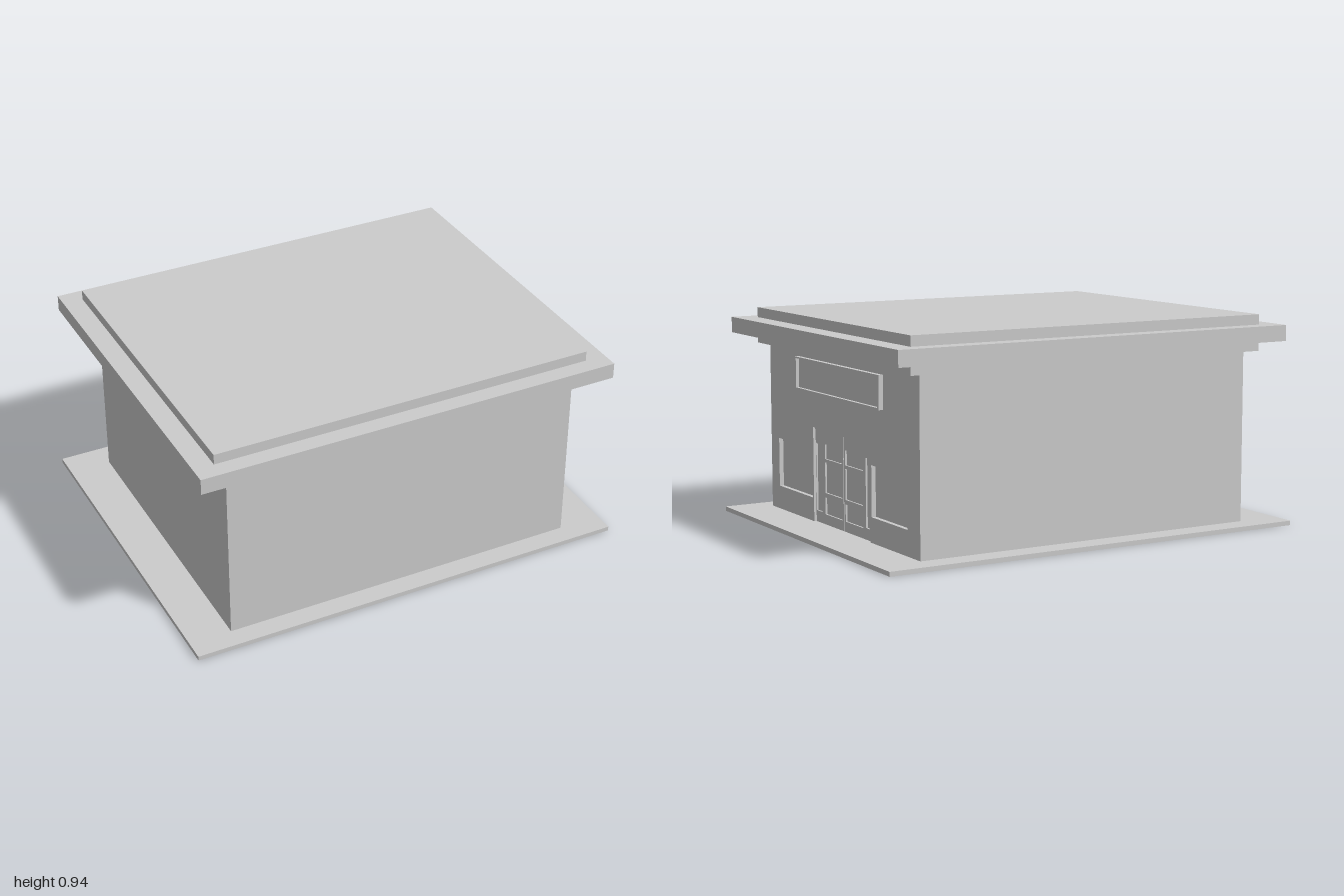
import * as THREE from 'three';

const material = new THREE.MeshStandardMaterial({ color: 0xcccccc, flatShading: true });

function add(group, name, geometry) {
  const mesh = new THREE.Mesh(geometry, material);
  mesh.name = name;
  group.add(mesh);
  return mesh;
}

// Box given by its limits on each axis
function slab(group, name, [x0, x1], [y0, y1], [z0, z1]) {
  const mesh = add(group, name, new THREE.BoxGeometry(x1 - x0, y1 - y0, z1 - z0));
  mesh.position.set((x0 + x1) / 2, (y0 + y1) / 2, (z0 + z1) / 2);
}

function rectangle(PathType, [u0, u1, v0, v1]) {
  return new PathType([[u0, v0], [u1, v0], [u1, v1], [u0, v1]].map(([u, v]) => new THREE.Vector2(u, v)));
}

// Upright panel facing +x with cut openings; u runs along -z, v runs up
function panel(group, name, shape, holes, x0, x1) {
  holes.forEach((hole) => shape.holes.push(rectangle(THREE.Path, hole)));
  const geometry = new THREE.ExtrudeGeometry(shape, { depth: x1 - x0, bevelEnabled: false });
  geometry.rotateY(Math.PI / 2);
  add(group, name, geometry).position.x = x0;
}

export function createModel() {
  const building = new THREE.Group();
  building.name = 'building';

  // Ground plate, solid core and thin rear cladding
  slab(building, 'groundPlate', [-1, 1], [0, 0.02], [-0.8, 0.8]);
  slab(building, 'wallCore', [-0.805, 0.785], [0.02, 0.78], [-0.695, 0.71]);
  slab(building, 'rearCladding', [-0.812, -0.805], [0.02, 0.78], [-0.68, 0.71]);

  // Stepped roof
  slab(building, 'lowerCornice', [-0.865, 0.86], [0.775, 0.82], [-0.725, 0.72]);
  slab(building, 'roofOverhang', [-0.955, 0.955], [0.82, 0.89], [-0.8, 0.795]);
  slab(building, 'roofCap', [-0.865, 0.86], [0.89, 0.935], [-0.725, 0.72]);

  // Entrance wall, notched for the doorway and cut for two windows
  const facade = new THREE.Shape([
    [-0.71, 0.02], [-0.275, 0.02], [-0.275, 0.44], [0.26, 0.44],
    [0.26, 0.02], [0.695, 0.02], [0.695, 0.78], [-0.71, 0.78],
  ].map(([u, v]) => new THREE.Vector2(u, v)));
  panel(building, 'entranceWall', facade, [
    [-0.63, -0.285, 0.125, 0.345],
    [0.275, 0.59, 0.13, 0.35],
  ], 0.785, 0.805);

  // Double doors with three recessed panes and a sidelight each
  const doors = new THREE.Group();
  doors.name = 'doubleDoors';
  building.add(doors);
  const paneRows = [[0.065, 0.14], [0.16, 0.295], [0.31, 0.375]];
  const leaves = [
    { name: 'leftDoor', outline: [-0.275, -0.008], panes: [-0.185, -0.02], sidelight: [-0.272, -0.215] },
    { name: 'rightDoor', outline: [-0.003, 0.26], panes: [0.01, 0.175], sidelight: [0.2, 0.257] },
  ];
  for (const { name, outline, panes, sidelight } of leaves) {
    const shape = rectangle(THREE.Shape, [...outline, 0.02, 0.432]);
    const holes = paneRows.map((row) => [...panes, ...row]);
    holes.push([...sidelight, 0.07, 0.37]);
    panel(doors, name, shape, holes, 0.785, 0.793);
  }
  slab(building, 'doorLintel', [0.785, 0.797], [0.432, 0.44], [-0.26, 0.275]);

  // Framed sign board above the doors
  panel(building, 'signFrame', rectangle(THREE.Shape, [-0.415, 0.385, 0.595, 0.74]),
    [[-0.4, 0.37, 0.603, 0.733]], 0.805, 0.825);
  slab(building, 'signBoard', [0.8, 0.81], [0.6, 0.735], [-0.375, 0.405]);

  return building;
}
